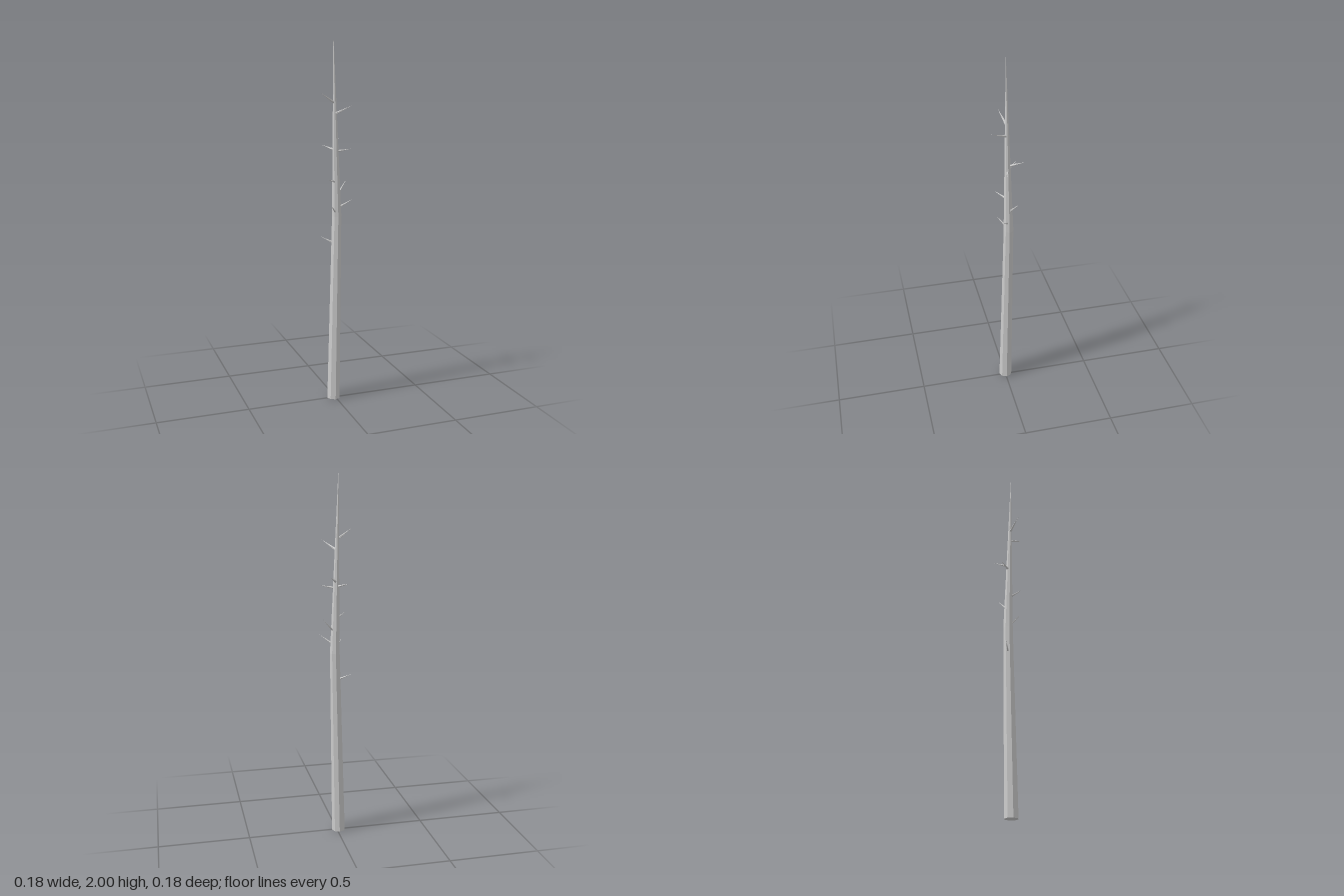
import * as THREE from 'three';

const SIDES = 8;
// trunk rings: x, y, z, radius
const RINGS = [
  [-0.009, 0, -0.002, 0.037],
  [0.014, 1.04, -0.014, 0.027],
  [-0.008, 2, -0.004, 0.0006],
];
// twigs: tip x, y, z, then height where the twig leaves the trunk axis
const TWIGS = [
  [-0.088, 1.706, 0.019, 1.65],
  [0.063, 1.64, 0.087, 1.592],
  [0.053, 1.462, -0.09, 1.424],
  [-0.05, 1.424, -0.074, 1.4],
  [0.088, 1.407, 0.011, 1.394],
  [-0.058, 1.252, 0.047, 1.228],
  [0.087, 1.236, -0.054, 1.15],
  [0.088, 1.136, 0.029, 1.082],
  [-0.037, 1.11, 0.044, 1.05],
  [-0.072, 0.928, -0.049, 0.885],
];

// centre of the trunk at height y
function axisAt(y) {
  const i = y < RINGS[1][1] ? 0 : 1;
  const [a, b] = [RINGS[i], RINGS[i + 1]];
  const t = (y - a[1]) / (b[1] - a[1]);
  return new THREE.Vector3(...a).lerp(new THREE.Vector3(...b), t);
}

export function createModel() {
  const group = new THREE.Group();
  group.name = 'bareTree';
  const material = new THREE.MeshStandardMaterial({ color: 0xcccccc, flatShading: true });

  // bent, tapering trunk: a cylinder whose rings are moved to the given centres
  const trunkGeo = new THREE.CylinderGeometry(1, 1, 2, SIDES, 2);
  const pos = trunkGeo.attributes.position;
  for (let i = 0; i < pos.count; i++) {
    const [x, y, z, r] = RINGS[Math.round(pos.getY(i)) + 1];
    pos.setXYZ(i, x + r * pos.getX(i), y, z + r * pos.getZ(i));
  }
  trunkGeo.computeVertexNormals();
  const trunk = new THREE.Mesh(trunkGeo, material);
  trunk.name = 'trunk';
  group.add(trunk);

  // short pointed twigs growing out of the trunk
  const up = new THREE.Vector3(0, 1, 0);
  TWIGS.forEach(([x, y, z, rootY], i) => {
    const root = axisAt(rootY);
    const dir = new THREE.Vector3(x, y, z).sub(root);
    const length = dir.length();
    const geo = new THREE.ConeGeometry(0.0075, length, 5).translate(0, length / 2, 0);
    const twig = new THREE.Mesh(geo, material);
    twig.name = `twig${i + 1}`;
    twig.position.copy(root);
    twig.quaternion.setFromUnitVectors(up, dir.normalize());
    group.add(twig);
  });

  return group;
}
